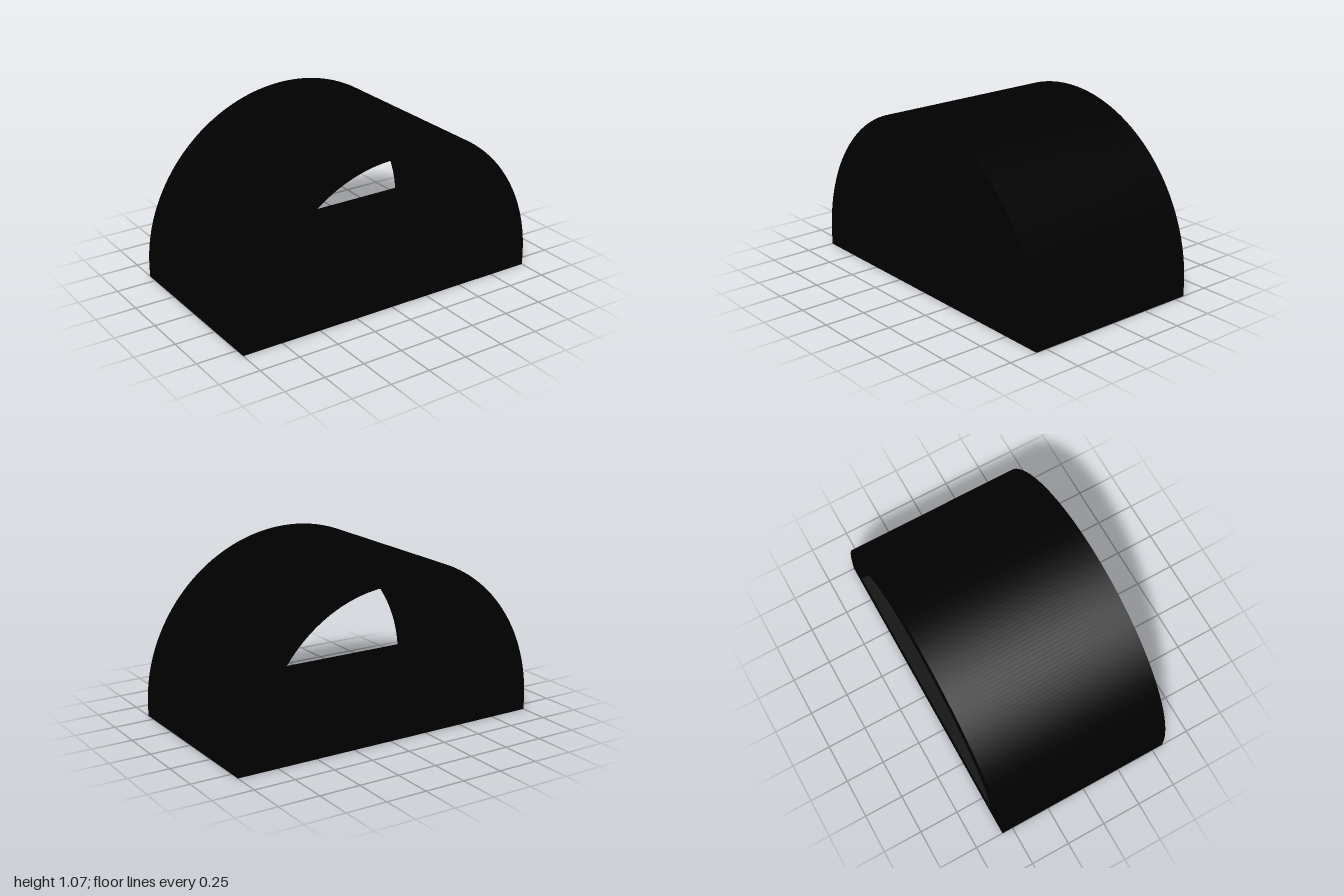
import * as THREE from 'three';
import { toCreasedNormals } from 'three/addons/utils/BufferGeometryUtils.js';

const OUTER_RADIUS = 1;
const WALL = 0.145;
const CENTRE_Y = 0.072; // height where the arch springs from the straight sides
const DEPTH = 1.14;

// Half-round outline closed by a flat base at the given height
function archOutline(PathType, radius, baseY) {
  const path = new PathType();
  const start = Math.max(0, Math.asin((baseY - CENTRE_Y) / radius));
  const halfWidth = radius * Math.cos(start);
  path.moveTo(-halfWidth, baseY);
  path.lineTo(halfWidth, baseY);
  path.absarc(0, CENTRE_Y, radius, start, Math.PI - start, false);
  path.closePath();
  return path;
}

export function createModel() {
  const group = new THREE.Group();
  group.name = 'archedTunnel';

  // Curved roof and flat floor in one thick shell, open at both ends
  const profile = archOutline(THREE.Shape, OUTER_RADIUS, 0);
  profile.holes.push(archOutline(THREE.Path, OUTER_RADIUS - WALL, WALL));
  const geometry = new THREE.ExtrudeGeometry(profile, {
    depth: DEPTH,
    bevelEnabled: false,
    curveSegments: 64,
  });
  geometry.translate(0, 0, -DEPTH / 2);

  const shell = new THREE.Mesh(
    toCreasedNormals(geometry, Math.PI / 6),
    new THREE.MeshStandardMaterial({ color: 0x000000 })
  );
  shell.name = 'archShell';
  group.add(shell);
  return group;
}
